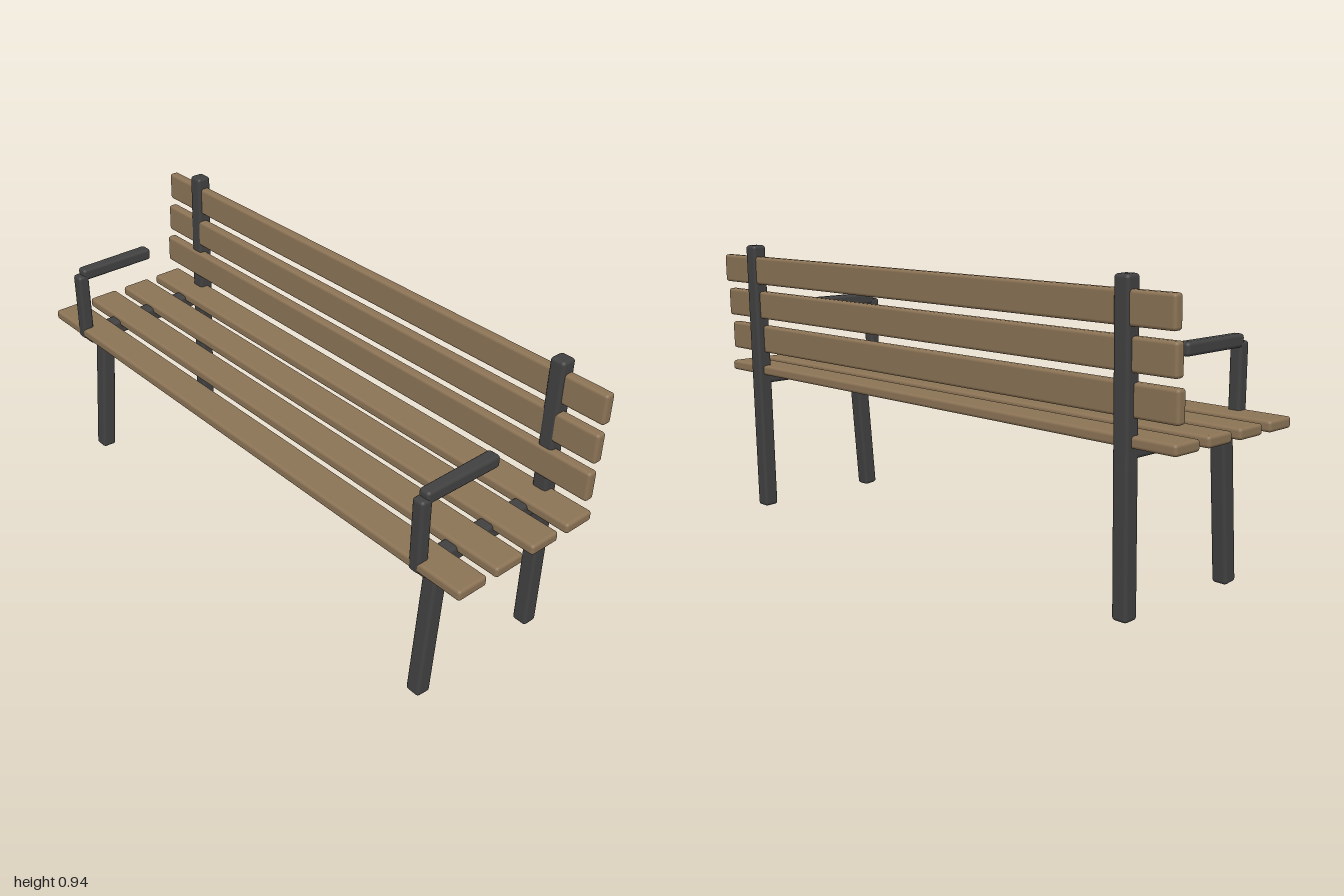
import * as THREE from 'three';
import { RoundedBoxGeometry } from 'three/addons/geometries/RoundedBoxGeometry.js';

export function createModel() {
  const bench = new THREE.Group();
  bench.name = 'parkBench';
  const wood = new THREE.MeshStandardMaterial({ color: 0x8b7355 });
  wood.name = 'brownWood';
  const metal = new THREE.MeshStandardMaterial({ color: 0x404040 });
  metal.name = 'darkMetal';

  // Rounded bar running from [z, y] to [z, y] in the plane of one side frame
  function bar(name, from, to, width, depth, taper = 0) {
    const dz = to[0] - from[0], dy = to[1] - from[1];
    const length = Math.hypot(dz, dy);
    const geometry = new RoundedBoxGeometry(width, length, depth, 2, 0.011);
    const p = geometry.attributes.position;
    for (let i = 0; i < p.count; i++) {
      p.setX(i, p.getX(i) * (1 + taper * p.getY(i) / length));
    }
    const mesh = new THREE.Mesh(geometry, metal);
    mesh.name = name;
    mesh.position.set(0, (from[1] + to[1]) / 2, (from[0] + to[0]) / 2);
    mesh.rotation.x = Math.atan2(dz, dy);
    return mesh;
  }

  // Two side frames: legs, seat rail and open armrest
  for (const [side, x] of [['left', 0.83], ['right', -0.83]]) {
    const frame = new THREE.Group();
    frame.name = side + 'Frame';
    frame.position.x = x;
    frame.add(
      bar('backPost', [-0.236, 0.004], [-0.257, 0.945], 0.052, 0.052),
      bar('frontLeg', [0.23, 0.003], [0.188, 0.49], 0.052, 0.052),
      bar('seatRail', [0.262, 0.481], [-0.262, 0.481], 0.052, 0.052),
      bar('armSupport', [0.265, 0.48], [0.265, 0.722], 0.042, 0.041),
      bar('armrest', [0.264, 0.723], [-0.011, 0.723], 0.042, 0.041, 0.15),
    );
    bench.add(frame);
  }

  function slat(name, height, depth, y, z, tilt = 0) {
    const mesh = new THREE.Mesh(new RoundedBoxGeometry(2, height, depth, 2, 0.01), wood);
    mesh.name = name;
    mesh.position.set(0, y, z);
    mesh.rotation.x = tilt;
    bench.add(mesh);
  }

  // Seat boards
  for (let i = 0; i < 4; i++) slat('seatSlat' + (i + 1), 0.034, 0.107, 0.503, 0.231 - i * 0.1443);

  // Backrest boards, leaning with the posts
  for (let i = 0; i < 3; i++) {
    slat('backSlat' + (i + 1), 0.096, 0.034, 0.614 + i * 0.122, -0.233 - i * 0.0122, -0.022);
  }

  return bench;
}
